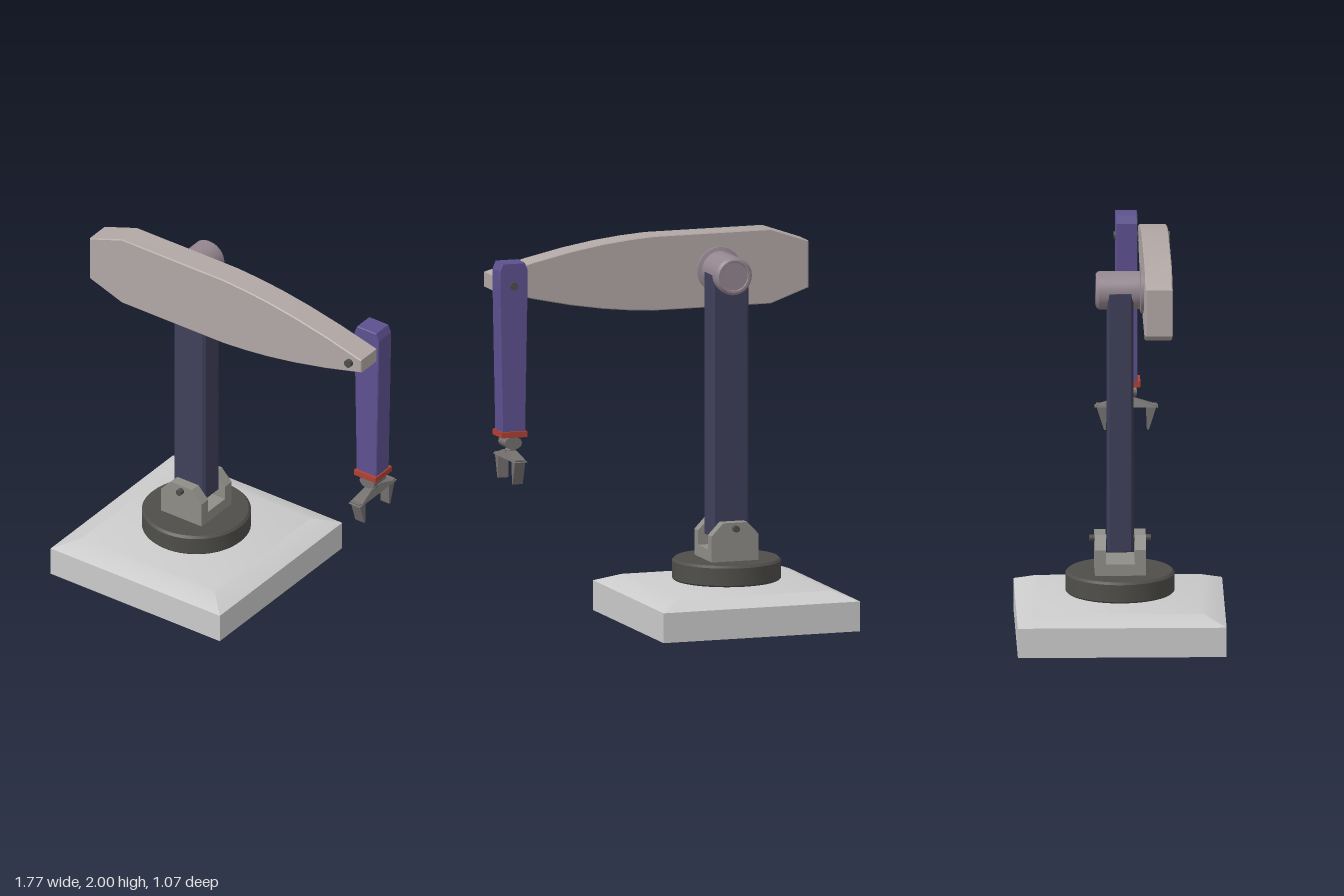
import * as THREE from 'three';
import { toCreasedNormals } from 'three/addons/utils/BufferGeometryUtils.js';

const paint = (color) => new THREE.MeshStandardMaterial({ color });
const mats = {
  base: paint(0xcccccc), dark: paint(0x4f4e4a), bracket: paint(0x8f8d87), post: paint(0x3f3f5a),
  arm: paint(0xb2a8a6), motor: paint(0x94868f), forearm: paint(0x5d5190), collar: paint(0xb04034),
  grip: paint(0x74716f),
};
const AXIS = -0.355; // x of the turntable and post
const HAND = 0.803;  // x of the forearm and gripper
const HANDZ = 0.058; // z of the forearm and gripper

// Extrudes a 2D outline along z, centred on z = 0, with an optional small bevel
function prism(points, depth, bevel = 0) {
  const shape = new THREE.Shape(points.map(([x, y]) => new THREE.Vector2(x, y)));
  const g = new THREE.ExtrudeGeometry(shape, {
    depth: depth - 2 * bevel, bevelEnabled: bevel > 0, bevelThickness: bevel,
    bevelSize: bevel, bevelOffset: -bevel, bevelSegments: 1,
  });
  return g.translate(0, 0, -depth / 2 + bevel);
}

const lathe = (points, segments = 48) =>
  new THREE.LatheGeometry(points.map(([r, y]) => new THREE.Vector2(r, y)), segments);

export function createModel() {
  const model = new THREE.Group();
  model.name = 'robotArm';
  const add = (name, geometry, mat, x = 0, y = 0, z = 0, parent = model) => {
    const mesh = new THREE.Mesh(toCreasedNormals(geometry, 0.4), mats[mat]);
    mesh.name = name;
    mesh.position.set(x, y, z);
    parent.add(mesh);
    return mesh;
  };
  const pin = (r, length) => new THREE.CylinderGeometry(r, r, length, 20).rotateX(Math.PI / 2);

  // Square plinth with sloping top edges
  const d = Math.SQRT2;
  add('base', lathe([[0, 0], [0.535 * d, 0], [0.535 * d, 0.155], [0.42 * d, 0.2], [0, 0.2]], 4)
    .rotateY(Math.PI / 4), 'base', AXIS);

  // Turntable on its spindle
  add('spindle', new THREE.CylinderGeometry(0.032, 0.032, 0.04, 24), 'dark', AXIS, 0.21);
  add('turntable', lathe([[0, 0.22], [0.272, 0.22], [0.28, 0.228], [0.28, 0.318],
    [0.268, 0.33], [0, 0.33]], 64), 'dark', AXIS);

  // U-shaped bracket holding the post
  const bracket = new THREE.Group();
  bracket.name = 'bracket';
  bracket.position.x = AXIS;
  model.add(bracket);
  add('bracketFloor', new THREE.BoxGeometry(0.256, 0.06, 0.15), 'bracket', 0, 0.36, 0, bracket);
  const cheek = [[-0.128, 0.33], [0.128, 0.33], [0.128, 0.465], [0.066, 0.53], [-0.066, 0.53], [-0.128, 0.465]];
  for (const s of [-1, 1]) add('bracketCheek', prism(cheek, 0.057), 'bracket', 0, 0, s * 0.1025, bracket);
  add('bracketPin', pin(0.017, 0.315), 'dark', 0, 0.5, 0, bracket);

  // Upright post with chamfered edges
  const px = 0.1, pz = 0.067, c = 0.012;
  const section = [[px - c, -pz], [px, c - pz], [px, pz - c], [px - c, pz],
    [c - px, pz], [-px, pz - c], [-px, c - pz], [c - px, -pz]];
  add('post', prism(section, 1.36).rotateX(Math.PI / 2), 'post', AXIS, 1.13, 0);

  // Shoulder motor: flange, barrel and recessed cap, pointing backwards
  add('shoulderMotor', lathe([[0, -0.12], [0.118, -0.12], [0.118, -0.106], [0.098, -0.1],
    [0.098, 0.11], [0.086, 0.124], [0.075, 0.124], [0.072, 0.118], [0, 0.118]])
    .rotateX(-Math.PI / 2), 'motor', AXIS, 1.807, 0);

  // Main arm, tapering towards the elbow
  const top = [[-0.64, 0.194], [0, 0.194], [0.14, 0.184], [0.28, 0.168], [0.45, 0.14], [0.65, 0.097], [0.875, 0.038]];
  const upper = [[-0.845, 0.122], ...top];
  const outline = [...upper.map(([x, y]) => [x, -y]), ...upper.reverse()];
  add('upperArm', prism(outline, 0.14, 0.005), 'arm', 0, 1.806, 0.19);
  add('elbowPin', pin(0.021, 0.29), 'dark', 0.803, 1.806, 0.137);

  // Forearm with cut top corners
  add('forearm', prism([[-0.064, 1.045], [0.062, 1.045], [0.077, 1.8], [0.077, 1.885], [0.06, 1.925],
    [-0.06, 1.925], [-0.077, 1.885], [-0.077, 1.8]], 0.112, 0.004), 'forearm', HAND, 0, HANDZ);
  add('wristCollar', new THREE.BoxGeometry(0.138, 0.03, 0.142), 'collar', HAND, 1.035, HANDZ);

  // Wrist and two-finger gripper
  const gripper = new THREE.Group();
  gripper.name = 'gripper';
  gripper.position.set(HAND, 0, HANDZ);
  model.add(gripper);
  add('wristRoller', pin(0.033, 0.105).scale(1.4, 1, 1), 'grip', 0, 0.988, 0, gripper);
  add('wristNeck', new THREE.SphereGeometry(0.028, 24, 16), 'grip', 0, 0.943, 0, gripper);
  const bar = new THREE.BoxGeometry(0.074, 0.04, 0.326);
  const p = bar.attributes.position;
  for (let i = 0; i < p.count; i++) {
    if (p.getY(i) > 0) p.setXYZ(i, p.getX(i) * 0.6, 0.02, p.getZ(i) * 0.25);
  }
  add('gripperBar', bar, 'grip', 0, 0.925, 0, gripper);
  for (const s of [-1, 1]) {
    const finger = [[0.156, 0.915], [0.115, 0.785], [0.105, 0.785], [0.1, 0.915]].map(([z, y]) => [s * z, y]);
    add('gripperFinger', prism(finger, 0.056).rotateY(-Math.PI / 2), 'grip', 0, 0, 0, gripper);
  }
  return model;
}
